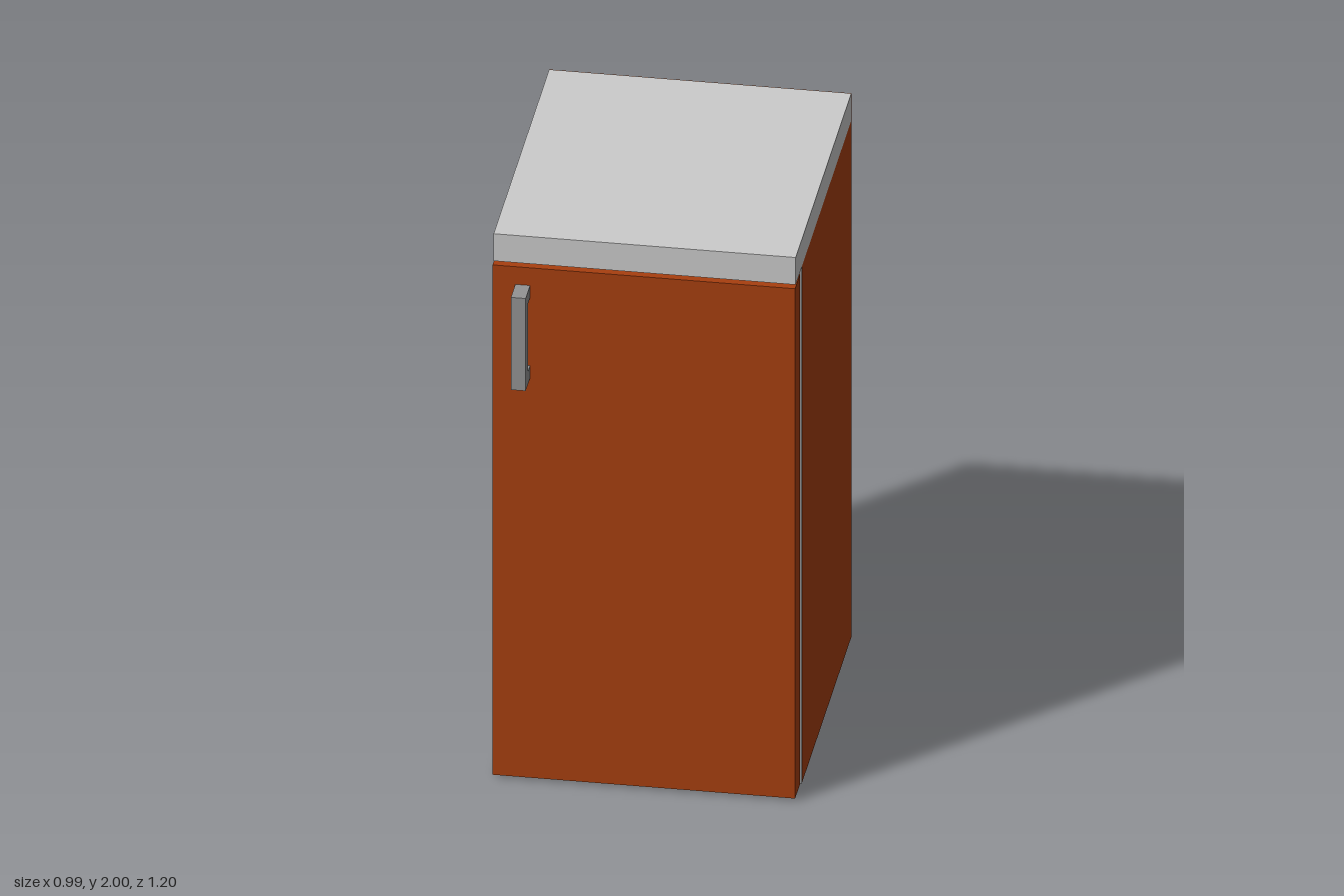
import * as THREE from 'three';

const material = (color) => new THREE.MeshStandardMaterial({ color });

export function createModel() {
  const model = new THREE.Group();
  model.name = 'refrigerator';

  const brown = material(0xa83f0f);
  const lightGrey = material(0xcccccc);
  const darkGrey = material(0x949494);

  // Box given by its [min, max] extent on each axis
  const addBox = (parent, name, mat, [x0, x1], [y0, y1], [z0, z1]) => {
    const mesh = new THREE.Mesh(new THREE.BoxGeometry(x1 - x0, y1 - y0, z1 - z0), mat);
    mesh.position.set((x0 + x1) / 2, (y0 + y1) / 2, (z0 + z1) / 2);
    mesh.name = name;
    parent.add(mesh);
  };

  const width = [-0.493, 0.493];

  // Cabinet, with a back panel reaching up behind the worktop
  addBox(model, 'cabinet', brown, width, [0, 1.9], [-0.597, 0.388]);
  addBox(model, 'backPanel', brown, width, [0, 2], [-0.599, -0.597]);
  addBox(model, 'cabinetFront', darkGrey, width, [0, 1.9], [0.388, 0.39]);

  // Worktop overhanging the door
  addBox(model, 'worktop', lightGrey, width, [1.9, 2], [-0.597, 0.511]);

  // Door, set off from the cabinet by a narrow gap
  addBox(model, 'door', brown, [-0.496, 0.491], [0.01, 1.885], [0.412, 0.511]);

  // Handle: upright grip on two posts
  const handle = new THREE.Group();
  handle.name = 'handle';
  model.add(handle);
  const handleX = [-0.422, -0.374];
  addBox(handle, 'grip', darkGrey, handleX, [1.48, 1.82], [0.55, 0.599]);
  for (const y of [1.48, 1.775]) {
    addBox(handle, 'handlePost', darkGrey, handleX, [y, y + 0.045], [0.511, 0.55]);
  }

  return model;
}
